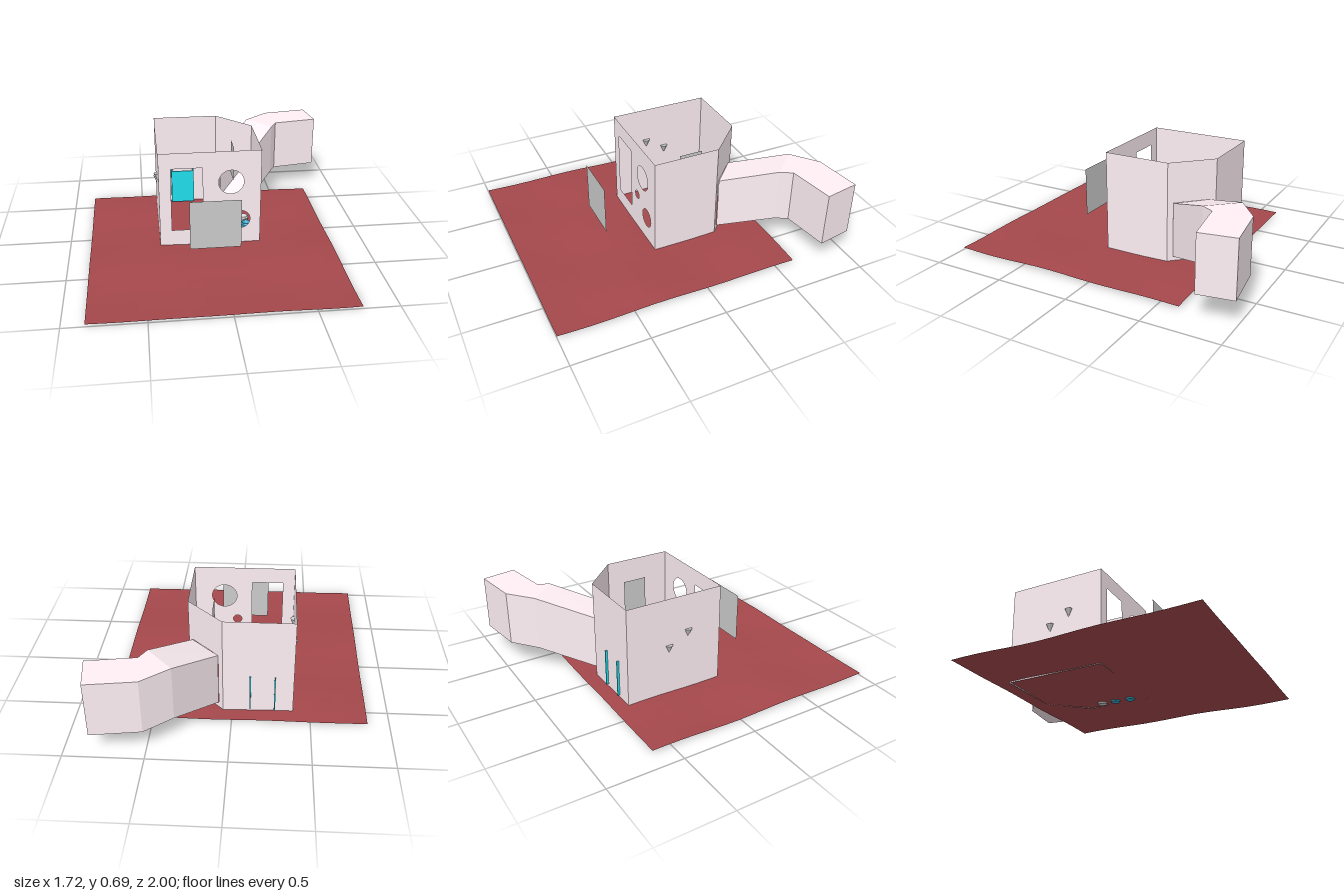
import * as THREE from 'three';

const mat = (color) => new THREE.MeshStandardMaterial({ color, side: THREE.DoubleSide, flatShading: true });
const WALL = mat(0xfff0f5), GREY = mat(0xcccccc), RED = mat(0xa5484c);
const CYAN = mat(0x20dfee), BLUE = mat(0x36a5c8);

function add(group, name, geometry, material, x = 0, y = 0, z = 0) {
  const mesh = new THREE.Mesh(geometry, material);
  mesh.name = name;
  mesh.position.set(x, y, z);
  group.add(mesh);
  return mesh;
}

const rectPath = (P, x0, x1, y0, y1) => new P([
  [x0, y0], [x1, y0], [x1, y1], [x0, y1],
].map(([x, y]) => new THREE.Vector2(x, y)));

function circlePath(x, y, r) {
  const path = new THREE.Path();
  path.absarc(x, y, r, 0, Math.PI * 2, true);
  return path;
}

// Upright sheet running from floor point a to floor point b, with cut-outs
function wall(group, name, a, b, holes = []) {
  const length = Math.hypot(b[0] - a[0], b[1] - a[1]);
  const shape = rectPath(THREE.Shape, 0, length, 0.015, 0.69);
  shape.holes.push(...holes);
  const mesh = add(group, name, new THREE.ShapeGeometry(shape, 16), WALL, a[0], 0, a[1]);
  mesh.rotation.y = -Math.atan2(b[1] - a[1], b[0] - a[0]);
}

// Angular duct lofted through floor sections [left point, right point, bottom y]
function ductGeometry(sections, height) {
  const pos = [], index = [];
  for (const [l, r, y] of sections) {
    pos.push(l[0], y, l[1], r[0], y, r[1], r[0], y + height, r[1], l[0], y + height, l[1]);
  }
  for (let s = 0; s < sections.length - 1; s++) {
    for (let i = 0; i < 4; i++) {
      const a = s * 4 + i, b = s * 4 + (i + 1) % 4;
      index.push(a, a + 4, b, b, a + 4, b + 4);
    }
  }
  const e = (sections.length - 1) * 4;
  index.push(e, e + 3, e + 1, e + 1, e + 3, e + 2);
  const g = new THREE.BufferGeometry();
  g.setAttribute('position', new THREE.Float32BufferAttribute(pos, 3));
  g.setIndex(index);
  const flat = g.toNonIndexed();
  flat.computeVertexNormals();
  return flat;
}

export function createModel() {
  const model = new THREE.Group();
  model.name = 'enclosure';

  // Gently rippled ground sheet
  const ground = new THREE.PlaneGeometry(1.63, 1.63, 16, 16).rotateX(-Math.PI / 2);
  ground.translate(-0.045, 0, 0.185);
  const p = ground.attributes.position;
  for (let i = 0; i < p.count; i++) {
    const x = p.getX(i), z = p.getZ(i);
    p.setY(i, 0.017 + 0.005 * Math.cos((x + 0.42) * 6.5) * Math.cos(z * 2)
      + 0.004 * Math.cos((z - 0.35) * 8) + 0.002 * Math.sin(9 * x + 5 * z));
  }
  ground.computeVertexNormals();
  add(model, 'groundSheet', ground, RED);

  // Open-topped room with one cut-off corner
  const room = new THREE.Group();
  room.name = 'room';
  model.add(room);
  const X0 = -0.39, X1 = 0.29, Z0 = -0.53, Z1 = 0.15;
  wall(room, 'frontWall', [X0, Z1], [X1, Z1], [
    rectPath(THREE.Path, 0.08, 0.29, 0.13, 0.58),
    circlePath(0.48, 0.47, 0.085),
    circlePath(0.39, 0.285, 0.03),
    circlePath(0.545, 0.19, 0.065),
  ]);
  wall(room, 'leftWall', [X1, Z1], [X1, -0.3]);
  wall(room, 'cornerWall', [X1, -0.3], [0.06, Z0], [rectPath(THREE.Path, 0.04, 0.285, 0.05, 0.42)]);
  wall(room, 'backWall', [0.06, Z0], [X0, Z0]);
  wall(room, 'rightWall', [X0, Z0], [X0, Z1]);

  // Tunnel climbing out of the cut-off corner, closed at its far end
  add(model, 'tunnel', ductGeometry([
    [[0.09, -0.5], [0.265, -0.33], 0.05],
    [[0.335, -0.82], [0.5, -0.64], 0.175],
    [[0.505, -0.955], [0.545, -0.72], 0.175],
    [[0.82, -1.0], [0.86, -0.77], 0.175],
  ], 0.37), WALL);

  // Free-standing thin screens
  add(model, 'frontScreen', new THREE.PlaneGeometry(0.33, 0.335), GREY, -0.045, 0.3075, 0.43);
  add(model, 'innerScreen', new THREE.PlaneGeometry(0.16, 0.25).rotateY(Math.PI / 2), GREY, 0.14, 0.48, -0.18);

  // Channel-shaped rack let into the back wall
  const rack = new THREE.Group();
  rack.name = 'rack';
  model.add(rack);
  add(rack, 'rackFace', new THREE.BoxGeometry(0.165, 0.25, 0.008), CYAN, -0.193, 0.162, -0.472);
  for (const side of [-1, 1]) {
    add(rack, 'rackSide', new THREE.BoxGeometry(0.008, 0.25, 0.076), CYAN, -0.193 + side * 0.0785, 0.162, -0.507);
  }

  // Pointed pegs through the right wall
  for (const [y, z] of [[0.34, -0.23], [0.42, -0.09]]) {
    add(model, 'wallPeg', new THREE.ConeGeometry(0.026, 0.06, 12).rotateX(Math.PI), GREY, -0.388, y, z);
  }

  // Row of little bowls on the floor
  const profile = [[0, 0.012], [0.02, 0.0], [0.03, 0.0], [0.038, 0.035], [0.03, 0.045], [0.016, 0.03], [0, 0.025]]
    .map(([r, y]) => new THREE.Vector2(r, y));
  const bowlGeometry = new THREE.LatheGeometry(profile, 20);
  [[0.222, -0.17, GREY], [0.228, -0.07, BLUE], [0.234, 0.04, BLUE]].forEach(([x, z, m]) => {
    add(model, 'bowl', bowlGeometry, m, x, 0.003, z);
  });
  return model;
}
